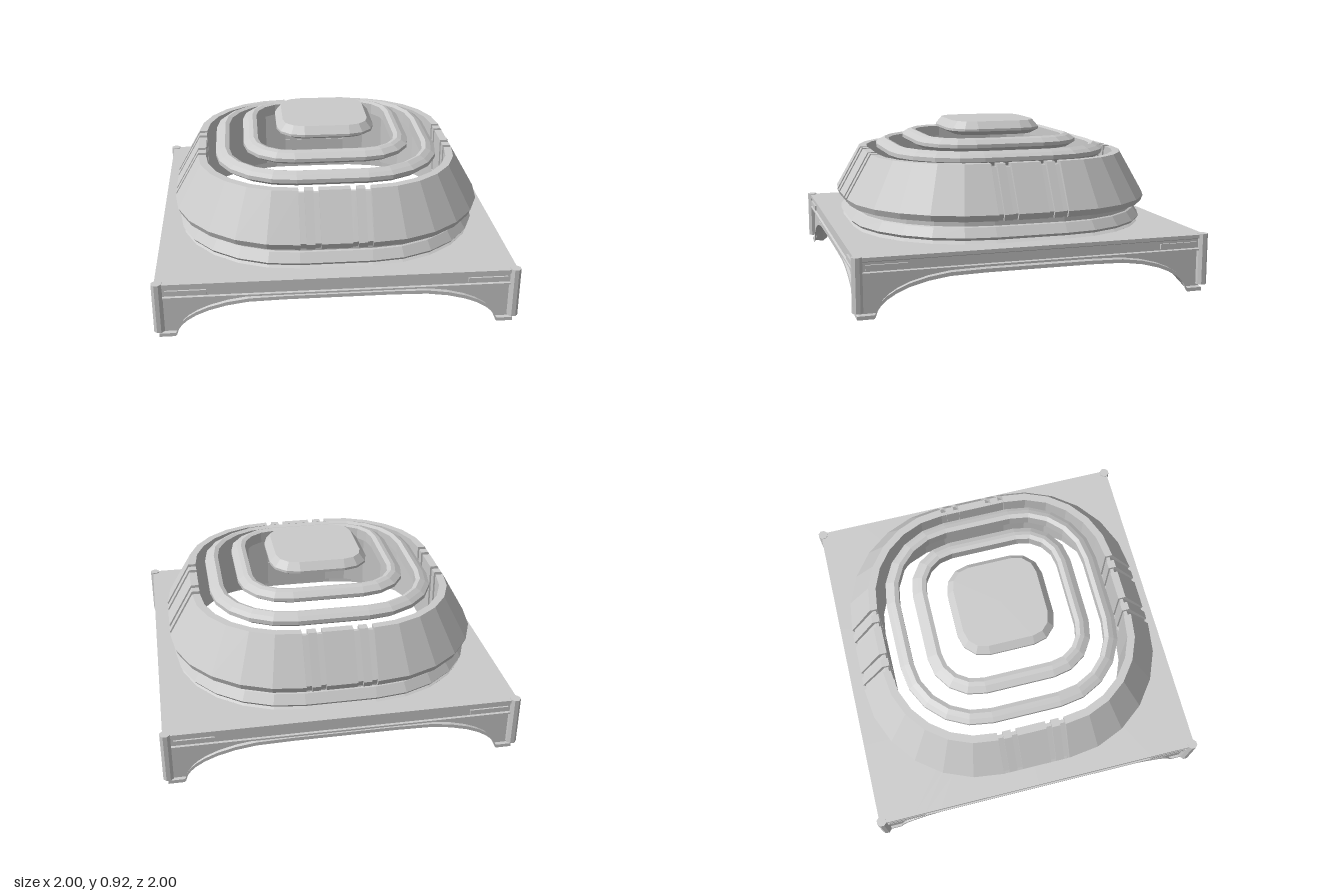
import * as THREE from 'three';

const material = new THREE.MeshStandardMaterial({ color: 0xcccccc, flatShading: true });

// Closed loft: each section runs down the outside, inward below, up the inside.
function loft(name, sections) {
  const rows = sections.length, cols = sections[0].length, index = [];
  for (let i = 0; i < rows; i++) {
    const a = i * cols, b = ((i + 1) % rows) * cols;
    for (let j = 0; j < cols; j++) {
      const k = (j + 1) % cols;
      index.push(a + j, b + j, b + k, a + j, b + k, a + k);
    }
  }
  const indexed = new THREE.BufferGeometry();
  indexed.setAttribute('position', new THREE.Float32BufferAttribute(sections.flat(2), 3));
  indexed.setIndex(index);
  const geometry = indexed.toNonIndexed();
  geometry.computeVertexNormals();
  const mesh = new THREE.Mesh(geometry, material);
  mesh.name = name;
  return mesh;
}

// Stations around a rounded square: corner centre, outward direction, groove flag.
function stations(s, segments, grooves = []) {
  const list = [];
  for (let k = 0; k < 4; k++) {
    const turn = k * Math.PI / 2, c = Math.cos(turn), n = Math.sin(turn);
    const add = (x, z, angle, groove) => list.push({
      cx: x * c - z * n, cz: x * n + z * c,
      dx: Math.cos(turn + angle), dz: Math.sin(turn + angle), groove,
    });
    for (const z of grooves) {
      for (const [o, g] of [[-0.016, 0], [-0.016, 1], [0.016, 1], [0.016, 0]]) add(s, z + o, 0, g);
    }
    for (let i = 0; i <= segments; i++) add(s, s, (i / segments) * Math.PI / 2, 0);
  }
  return list;
}

// Sweep a [radius, height] profile around a rounded square.
function roundedRing(name, s, segments, profile, grooves) {
  return loft(name, stations(s, segments, grooves).map((p) =>
    profile(p.groove).map(([r, y]) => (r === 0 ? [0, y, 0]
      : [p.cx + (r - s) * p.dx, y, p.cz + (r - s) * p.dz]))));
}

// Distance from the centre to a rounded square along a given direction.
function reach(x, z, r, s) {
  const len = Math.hypot(x, z);
  const c = Math.max(Math.abs(x), Math.abs(z)) / len;
  const n = Math.min(Math.abs(x), Math.abs(z)) / len;
  if (r * n / c <= s) return r / c;
  const b = s * (c + n);
  return b + Math.sqrt(b * b - 2 * s * s + (r - s) ** 2);
}

// Height of the vaulted underside: zero at the feet, rising in a quarter ellipse.
const EDGE = 0.975;
function vault(x, z) {
  const d = Math.hypot(EDGE - Math.abs(x), EDGE - Math.abs(z));
  const u = Math.min(Math.max((d - 0.095) / 0.5, 0), 1);
  return 0.2 * Math.sqrt(1 - (1 - u) ** 2);
}

function createBase() {
  const half = [0, 0.3, 0.5, 0.62, 0.72, 0.79, 0.84, 0.87, 0.89, 0.902, 0.91];
  const along = [-1, ...half.slice(1).reverse().map((v) => -v), ...half];
  const sections = [];
  for (let k = 0; k < 4; k++) {
    const c = Math.round(Math.cos(k * Math.PI / 2)), n = Math.round(Math.sin(k * Math.PI / 2));
    for (const v of along) {
      const x = c - v * n, z = n + v * c;
      const h = vault(x * EDGE, z * EDGE);
      const len = Math.hypot(x, z), hole = reach(x, z, 0.86, 0.2) / len;
      // Banded side wall with a raised lip following the arch
      const section = [[0.985, 0.325], [0.985, 0.305], [0.975, 0.3], [0.975, 0.25],
        [0.985, 0.245], [0.985, 0.235], [0.962, 0.23], [0.962, Math.min(h + 0.028, 0.228)],
        [EDGE, Math.min(h + 0.02, 0.222)], [EDGE, h]].map(([e, y]) => [x * e, y, z * e]);
      // Vaulted underside, then the opening wall back to the top
      for (const t of [0.05, 0.12, 0.2, 0.3, 0.42, 0.56, 0.75, 1]) {
        const e = EDGE + (hole - EDGE) * t;
        section.push([x * e, t === 1 ? 0.2 : vault(x * e, z * e), z * e]);
      }
      section.push([x * hole, 0.325, z * hole]);
      sections.push(section);
    }
  }
  const base = new THREE.Group();
  base.name = 'base';
  base.add(loft('archedPlate', sections));

  // Corner posts and the short bars beside them
  const postGeometry = new THREE.CylinderGeometry(0.03, 0.03, 0.29, 8);
  postGeometry.rotateY(Math.PI / 8);
  const barGeometry = new THREE.BoxGeometry(0.22, 0.028, 0.02);
  for (let k = 0; k < 4; k++) {
    const side = new THREE.Group();
    side.name = 'baseSide';
    side.rotation.y = k * Math.PI / 2;
    const post = new THREE.Mesh(postGeometry, material);
    post.name = 'cornerPost';
    post.position.set(0.972, 0.185, 0.972);
    side.add(post);
    for (const m of [-1, 1]) {
      const bar = new THREE.Mesh(barGeometry, material);
      bar.name = 'sideBar';
      bar.position.set(m * 0.82, 0.272, 0.975);
      side.add(bar);
    }
    base.add(side);
  }
  return base;
}

export function createModel() {
  const model = new THREE.Group();
  model.name = 'tieredVent';
  model.add(createBase());

  // Flared collar seated in the plate
  model.add(roundedRing('collar', 0.2, 6, () => [
    [0.83, 0.46], [0.83, 0.415], [0.84, 0.41], [0.876, 0.36], [0.865, 0.345],
    [0.83, 0.345], [0.865, 0.325], [0.865, 0.3], [0.71, 0.3], [0.71, 0.46]]));

  // Sloping outer wall, grooved in two pairs on each side
  model.add(roundedRing('outerWall', 0.2, 6, (g) => [
    [0.755 - 0.015 * g, 0.74 - 0.02 * g], [0.9 - 0.015 * g, 0.485], [0.885 - 0.015 * g, 0.45],
    [0.71 + 0.01 * g, 0.45], [0.71 + 0.01 * g, 0.74 - 0.02 * g]],
  [-0.182, -0.102, 0.102, 0.182]));

  // Floating rings and central cap
  model.add(roundedRing('lowerRing', 0.2, 5, () => [
    [0.595, 0.79], [0.625, 0.775], [0.65, 0.758], [0.65, 0.735],
    [0.615, 0.71], [0.57, 0.71], [0.57, 0.78]]));
  model.add(roundedRing('upperRing', 0.2, 4, () => [
    [0.425, 0.843], [0.45, 0.835], [0.485, 0.812], [0.485, 0.792],
    [0.45, 0.77], [0.4, 0.77], [0.4, 0.835]]));
  model.add(roundedRing('cap', 0.13, 3, () => [
    [0, 0.92], [0.25, 0.92], [0.287, 0.878], [0.287, 0.864], [0.235, 0.838], [0, 0.838]]));
  return model;
}
